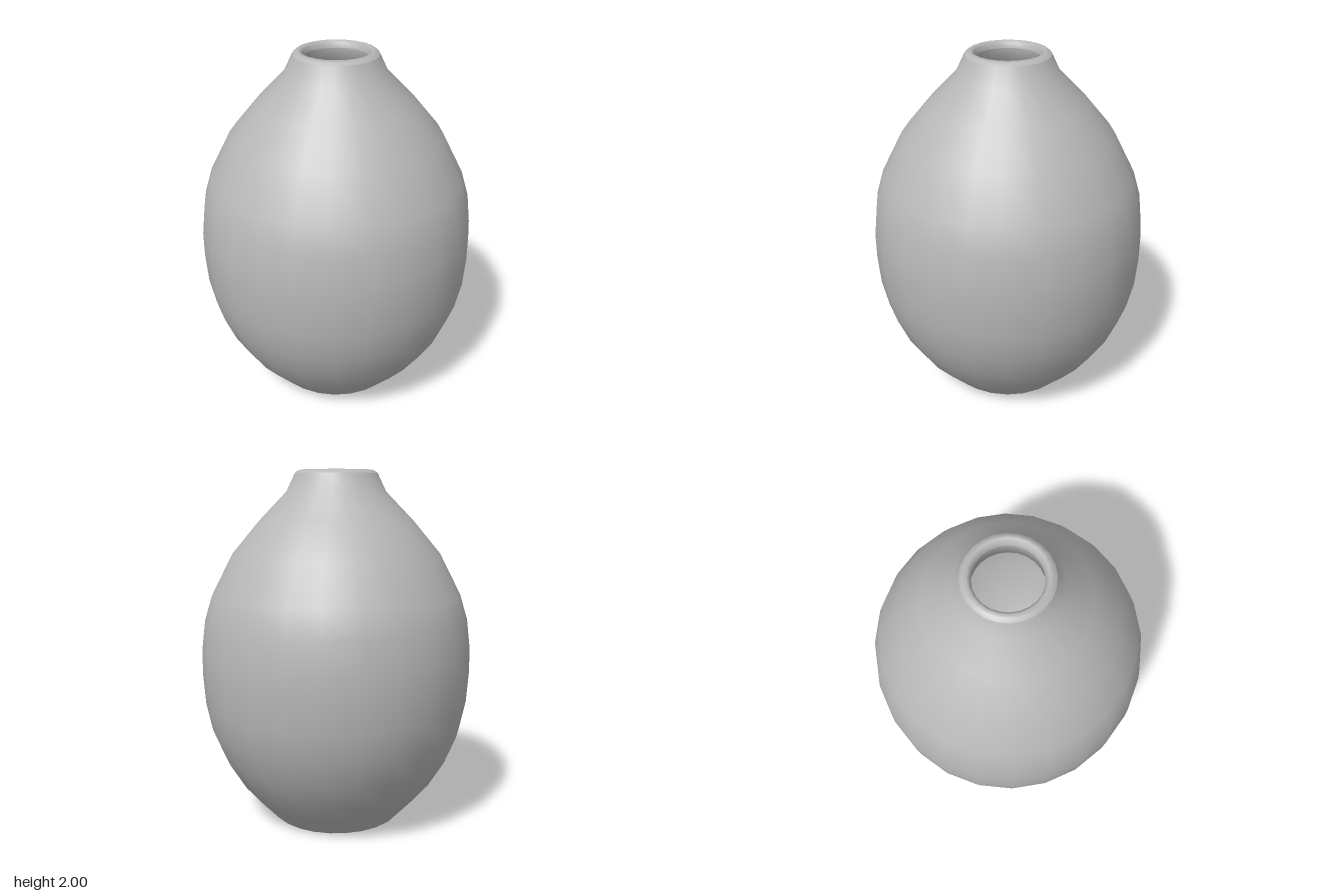
import * as THREE from 'three';

const SEGMENTS = 24;

export function createModel() {
  const vase = new THREE.Group();
  vase.name = 'vase';

  const ceramic = new THREE.MeshStandardMaterial({ color: 0xb8b8b8 });
  ceramic.name = 'grey ceramic';

  // Turns a list of [radius, height] pairs around the y axis
  function turned(name, profile) {
    const points = profile.map(([r, y]) => new THREE.Vector2(r, y));
    const mesh = new THREE.Mesh(new THREE.LatheGeometry(points, SEGMENTS), ceramic);
    mesh.name = name;
    vase.add(mesh);
  }

  // Flat foot
  turned('foot', [[0, 0], [0.35, 0], [0.37, 0.015]]);

  // Egg-shaped outer wall, shoulder and short neck
  turned('body', [
    [0.37, 0.015], [0.465, 0.115], [0.56, 0.225], [0.65, 0.37], [0.717, 0.53],
    [0.752, 0.69], [0.765, 0.86], [0.765, 1.0], [0.745, 1.17], [0.703, 1.31],
    [0.585, 1.54], [0.435, 1.72], [0.28, 1.88], [0.232, 1.98],
  ]);

  // Rounded lip around the mouth
  turned('lip', [[0.232, 1.98], [0.215, 1.995], [0.195, 2.0], [0.18, 1.985], [0.175, 1.96]]);

  // Hollow inside, following the outer wall
  turned('innerWall', [
    [0.175, 1.96], [0.185, 1.87], [0.36, 1.69], [0.52, 1.5], [0.64, 1.28],
    [0.7, 1.0], [0.69, 0.72], [0.6, 0.4], [0.46, 0.18], [0.36, 0.06],
  ]);

  // Inside floor
  turned('innerFloor', [[0.36, 0.06], [0, 0.06]]);

  return vase;
}
